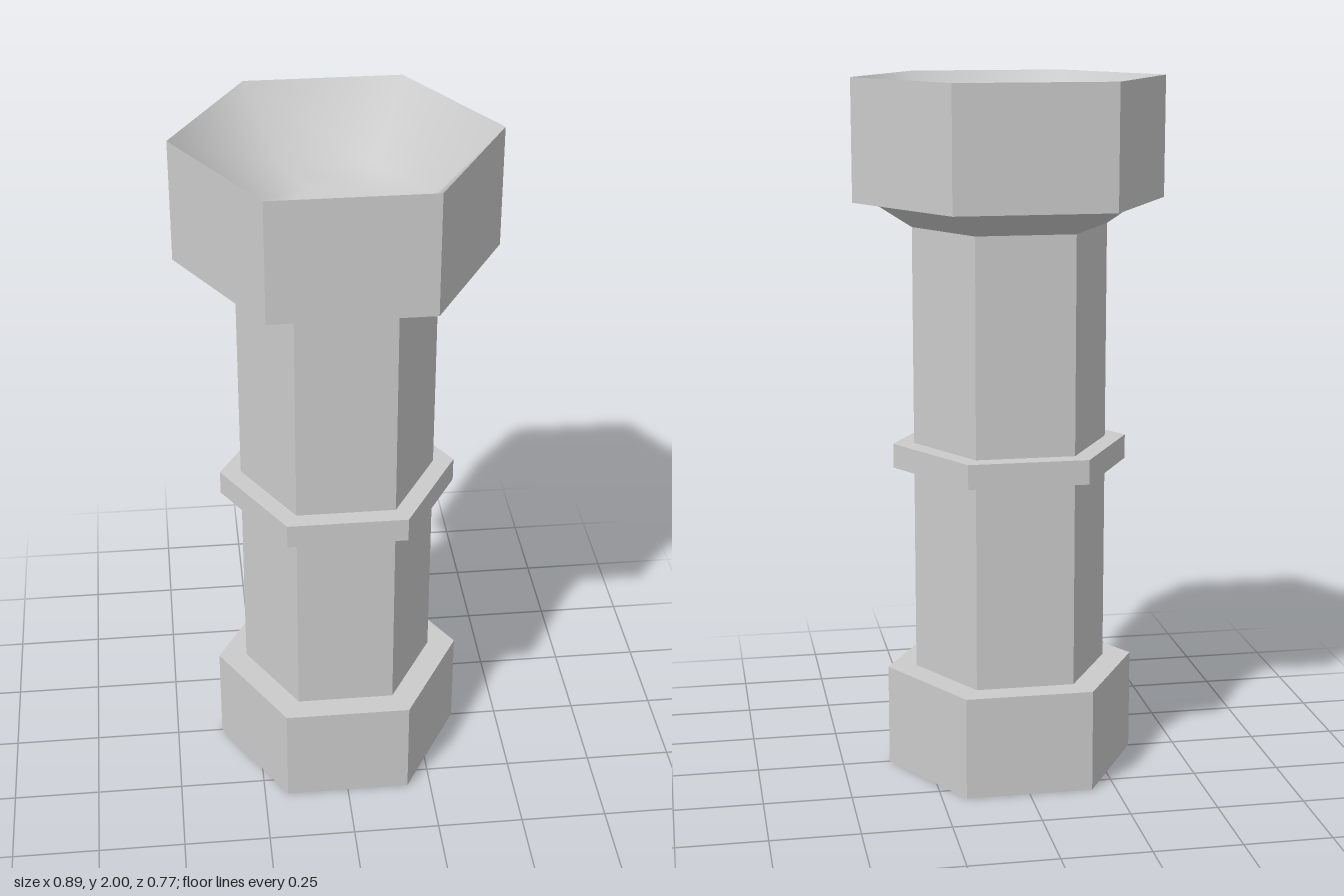
import * as THREE from 'three';

export function createModel() {
  const group = new THREE.Group();
  group.name = 'hexagonalPedestal';
  const faceted = new THREE.MeshStandardMaterial({ color: 0xcccccc, flatShading: true });
  const smooth = new THREE.MeshStandardMaterial({ color: 0xcccccc, side: THREE.DoubleSide });

  const add = (name, geometry, material = faceted) => {
    const mesh = new THREE.Mesh(geometry, material);
    mesh.name = name;
    group.add(mesh);
  };
  // Six-sided solid between two heights, with corners on the x axis
  const prism = (name, y0, y1, r0, r1 = r0) => {
    const g = new THREE.CylinderGeometry(r1, r0, y1 - y0, 6, 1, false, Math.PI / 2);
    add(name, g.translate(0, (y0 + y1) / 2, 0));
  };
  // Six-sided shell turned from a profile of [radius, height]
  const hexLathe = (points) =>
    new THREE.LatheGeometry(points.map(([r, y]) => new THREE.Vector2(r, y)), 6, Math.PI / 2);

  prism('base', 0, 0.295, 0.363);
  prism('shaft', 0.295, 1.585, 0.28);
  prism('collar', 0.895, 0.965, 0.34);
  prism('flare', 1.585, 1.656, 0.28, 0.39);

  // Head: flat underside and upright walls
  add('head', hexLathe([[0.3, 1.656], [0.446, 1.656], [0.446, 2]]));

  // Softly shaded bowl sunk into the head
  add('bowl', hexLathe([[0.446, 2], [0.26, 1.81], [0.15, 1.785], [0, 1.78]]), smooth);

  return group;
}
